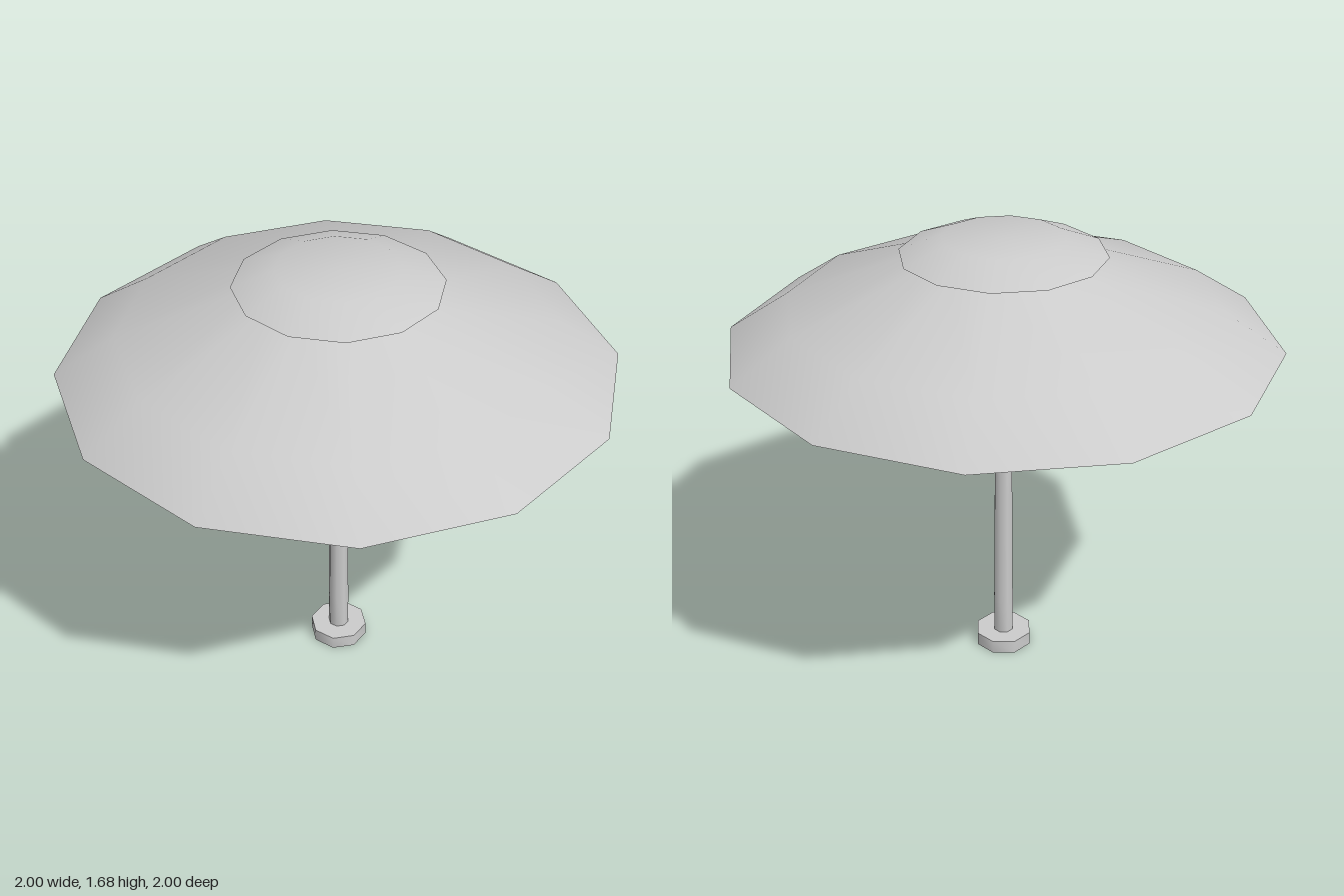
import * as THREE from 'three';
import { toCreasedNormals } from 'three/addons/utils/BufferGeometryUtils.js';

const material = new THREE.MeshStandardMaterial({ color: 0xcccccc, side: THREE.DoubleSide });

function part(name, geometry) {
  const mesh = new THREE.Mesh(geometry, material);
  mesh.name = name;
  return mesh;
}

// Faceted turned part from [radius, height] pairs
function turned(name, profile, sides, crease = 0.9) {
  const points = profile.map(([r, y]) => new THREE.Vector2(r, y));
  return part(name, toCreasedNormals(new THREE.LatheGeometry(points, sides), crease));
}

// Square bar that widens and leans outwards from bottom to top
function strutGeometry() {
  const bottom = { y: 0.96, r: 0.022, width: 0.02, depth: 0.016 };
  const top = { y: 1.61, r: 0.215, width: 0.07, depth: 0.035 };
  const geometry = new THREE.BoxGeometry(1, 1, 1);
  const pos = geometry.attributes.position;
  for (let i = 0; i < pos.count; i++) {
    const end = pos.getY(i) > 0 ? top : bottom;
    pos.setXYZ(i, pos.getX(i) * end.width, end.y, end.r + pos.getZ(i) * end.depth);
  }
  geometry.computeVertexNormals();
  return geometry;
}

export function createModel() {
  const model = new THREE.Group();
  model.name = 'parasol';

  // Hollow foot, open underneath
  model.add(turned('base', [[0.11, 0], [0.11, 0.052], [0, 0.052]], 8));

  // Slightly tapering mast
  model.add(turned('mast', [
    [0.039, 0.05], [0.039, 0.2], [0.034, 0.85], [0.03, 0.98], [0.03, 1.63], [0, 1.63],
  ], 8));

  // Four struts fanning out to the canopy
  const struts = new THREE.Group();
  struts.name = 'struts';
  const geometry = strutGeometry();
  for (let i = 0; i < 4; i++) {
    const strut = part('strut', geometry);
    strut.rotation.y = -THREE.MathUtils.degToRad(18) + i * Math.PI / 2;
    struts.add(strut);
  }
  model.add(struts);

  // Small collar around the mast top
  model.add(turned('collar', [[0.12, 1.6], [0.12, 1.622]], 12));

  // Thin canopy shell with an open centre
  model.add(turned('canopy', [
    [0.985, 1.287], [1, 1.29], [0.78, 1.435], [0.3, 1.61],
    [0.295, 1.6], [0.775, 1.424], [0.985, 1.287],
  ], 12, 0.6));

  // Vent cap floating above the opening
  model.add(turned('ventCap', [[0.37, 1.62], [0.22, 1.68], [0, 1.68]], 12, 0.6));

  return model;
}
